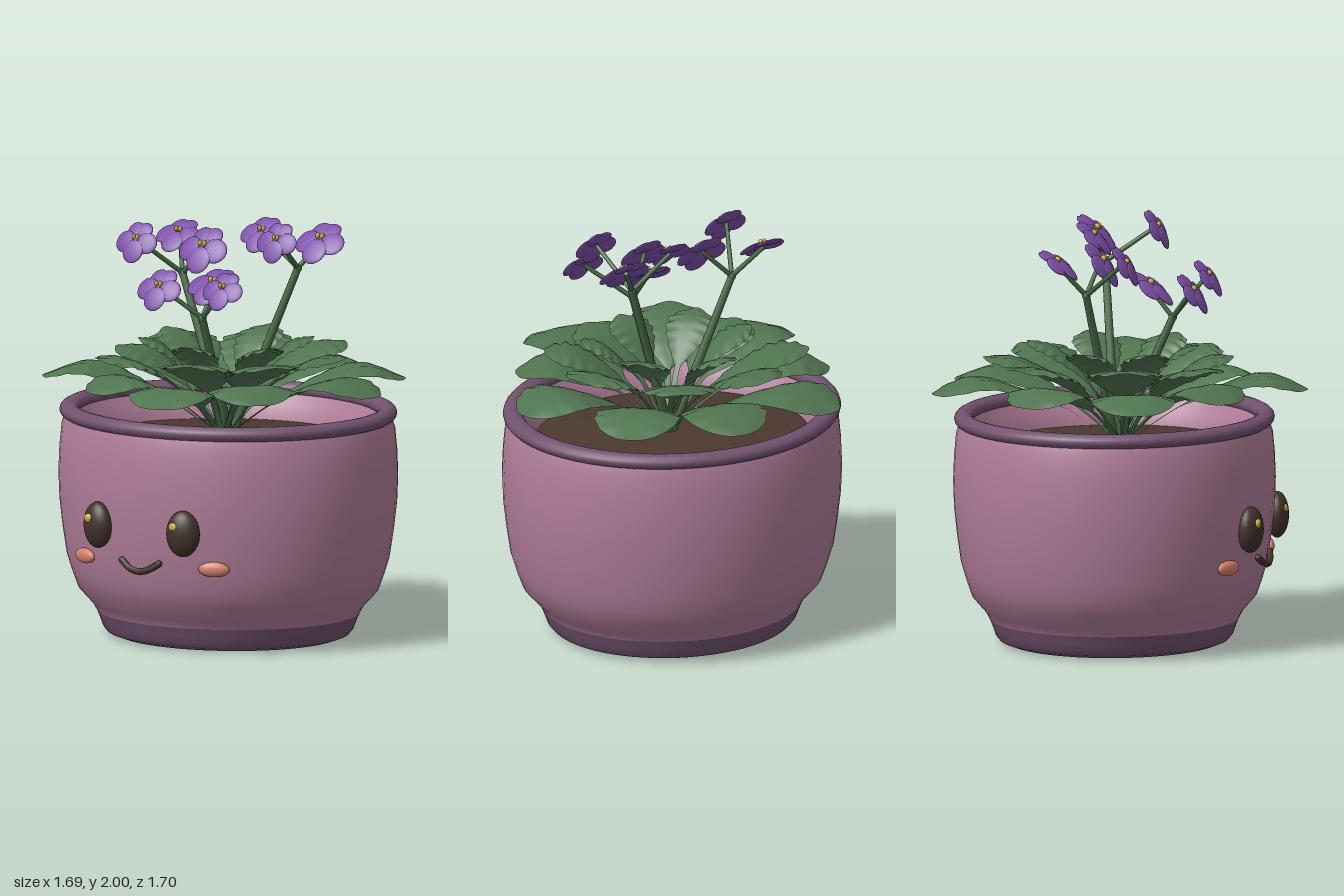
import * as THREE from 'three';

const mat = (name, color, side = THREE.FrontSide) => {
  const m = new THREE.MeshStandardMaterial({ color, side });
  m.name = name;
  return m;
};

export function createModel() {
  const pink = mat('pot pink', 0xb07d99);
  const plum = mat('trim plum', 0x72526f);
  const brown = mat('soil brown', 0x4c3930);
  const green = mat('leaf green', 0x50744f, THREE.DoubleSide);
  const stemGreen = mat('stem green', 0x4a6b48);
  const violet = mat('petal violet', 0x7d4fa8);
  const yellow = mat('yellow', 0xcdab3e);
  const dark = mat('dark brown', 0x40322a);
  const coral = mat('cheek coral', 0xd57f6b);

  const model = new THREE.Group();
  model.name = 'pottedPlant';
  const add = (parent, name, geo, material, pos = [0, 0, 0], scale = [1, 1, 1]) => {
    const m = new THREE.Mesh(geo, material);
    m.name = name;
    m.position.set(...pos);
    m.scale.set(...scale);
    parent.add(m);
    return m;
  };
  const lathe = (pts) => new THREE.LatheGeometry(pts.map((p) => new THREE.Vector2(...p)), 64);

  // Pot: slightly oval in plan
  const pot = new THREE.Group();
  pot.name = 'pot';
  pot.scale.z = 0.92;
  pot.position.z = -0.043;
  model.add(pot);
  add(pot, 'potBody', lathe([[0.635, 0.12], [0.655, 0.155], [0.725, 0.23], [0.755, 0.31], [0.78, 0.39],
    [0.8, 0.52], [0.815, 0.65], [0.82, 0.78], [0.815, 0.9], [0.805, 1.0], [0.785, 1.06]]), pink);
  add(pot, 'potInside', lathe([[0.74, 1.07], [0.7, 1.0], [0.65, 0.9], [0.64, 0.5], [0.56, 0.14], [0.17, 0.12], [0.17, 0.08]]), pink);
  add(pot, 'potFoot', lathe([[0.17, 0.12], [0.17, 0.085], [0.2, 0.06], [0.27, 0.04], [0.38, 0.015], [0.48, 0.003],
    [0.54, 0.006], [0.585, 0.022], [0.605, 0.045], [0.62, 0.085], [0.635, 0.12]]), plum);
  const rim = new THREE.TorusGeometry(0.767, 0.048, 16, 64).rotateX(Math.PI / 2);
  add(pot, 'potRim', rim, plum, [0, 1.07, 0], [1, 0.75, 1]);
  add(pot, 'soil', lathe([[0.67, 0.93], [0.5, 0.945], [0.25, 0.96], [0, 0.965]]), brown);

  // Face
  const ball = new THREE.SphereGeometry(1, 24, 16);
  for (const s of [-1, 1]) {
    const side = s > 0 ? 'left' : 'right';
    add(model, side + 'Eye', ball, dark, [s * 0.243, 0.6, 0.685], [0.082, 0.11, 0.055]).rotation.y = s * 0.25;
    add(model, side + 'EyeShine', ball, yellow, [s * 0.243 - 0.024, 0.635, 0.728], [0.025, 0.022, 0.014]);
    add(model, side + 'Cheek', ball, coral, [s * 0.368, 0.432, 0.61], [0.075, 0.036, 0.025]).rotation.y = s * 0.4;
  }
  const smile = new THREE.CatmullRomCurve3([[-0.105, 0.445, 0.685], [-0.05, 0.412, 0.7], [0, 0.402, 0.703],
    [0.05, 0.412, 0.7], [0.105, 0.445, 0.685]].map((p) => new THREE.Vector3(...p)));
  add(model, 'mouth', new THREE.TubeGeometry(smile, 20, 0.016, 8), dark);
  for (const s of [-1, 1]) add(model, 'mouthEnd', ball, dark, [s * 0.105, 0.445, 0.685], [0.016, 0.016, 0.016]);

  // Leaf: a stalk widening into a scalloped, slightly arched blade along +x
  const leafGeometry = (path, width, scallop) => {
    const curve = new THREE.CatmullRomCurve3(path.map(([r, y]) => new THREE.Vector3(r, y, 0)));
    const rows = 44, cols = 8, pos = [], index = [];
    for (let i = 0; i <= rows; i++) {
      const u = 1 - (1 - i / rows) ** 1.25;
      const t = Math.max(0, (u - 0.3) / 0.7);
      const blade = Math.max(0, Math.sin(Math.PI * t ** 1.55)) ** 0.62;
      const wave = Math.cos(t * Math.PI * 14);
      const half = Math.max(u < 0.9 ? 0.014 : 0.002, width * blade * (1 + scallop * wave));
      const p = curve.getPoint(u);
      for (let j = 0; j <= cols; j++) {
        const v = (j / cols) * 2 - 1;
        const dip = blade * (0.02 * Math.abs(v) - 0.045 * v * v + 0.12 * scallop * wave * v * v);
        pos.push(p.x, p.y + dip, half * v);
        if (i < rows && j < cols) {
          const a = i * (cols + 1) + j, b = a + cols + 1;
          index.push(a, a + 1, b, b, a + 1, b + 1);
        }
      }
    }
    const g = new THREE.BufferGeometry();
    g.setAttribute('position', new THREE.Float32BufferAttribute(pos, 3));
    g.setIndex(index);
    g.computeVertexNormals();
    return g;
  };
  // Tiers: [angle in degrees, length] for each leaf, heights along the leaf
  const tiers = [
    { name: 'outerLeaf', width: 0.2, scallop: 0.025, heights: [0.96, 1.1, 1.21, 1.275, 1.21],
      leaves: [[-117, 0.92], [-81, 0.86], [-44, 0.87], [-3, 0.85], [42, 0.72], [77, 0.87], [118, 0.71], [161, 0.88], [202, 0.78]] },
    { name: 'middleLeaf', width: 0.175, scallop: 0.045, heights: [0.96, 1.14, 1.27, 1.35, 1.36],
      leaves: [[-106, 0.66], [-63, 0.65], [-14, 0.62], [31, 0.58], [74, 0.52], [125, 0.64], [164, 0.53], [214, 0.67]] },
    { name: 'innerLeaf', width: 0.115, scallop: 0.055, heights: [0.96, 1.17, 1.31, 1.4, 1.425],
      leaves: [[-95, 0.46], [-38, 0.43], [22, 0.42], [85, 0.36], [145, 0.4], [195, 0.42]] },
  ];
  const foliage = new THREE.Group();
  foliage.name = 'foliage';
  model.add(foliage);
  for (const { name, width, scallop, heights, leaves } of tiers) {
    for (const [deg, len] of leaves) {
      const path = [0.03, 0.26, 0.5, 0.76, 1].map((f, i) => [f * len, heights[i]]);
      add(foliage, name, leafGeometry(path, width, scallop), green).rotation.y = -deg * Math.PI / 180;
    }
  }

  // Flowers: five flat petals and two small yellow anthers, facing forward and up
  const petalBall = new THREE.SphereGeometry(1, 16, 10);
  const addFlower = (parent, pos, radius, elevation) => {
    const f = new THREE.Group();
    f.name = 'flower';
    f.position.set(...pos);
    f.rotation.x = -elevation * Math.PI / 180;
    f.scale.setScalar(radius / 0.125);
    parent.add(f);
    [[62, 0.82], [118, 0.82], [196, 1], [270, 1.04], [344, 1]].forEach(([deg, s], i) => {
      const arm = new THREE.Group();
      arm.name = 'petalArm';
      arm.rotation.z = deg * Math.PI / 180;
      f.add(arm);
      const z = i < 2 ? -0.006 : 0.004 * (i % 2);
      add(arm, 'petal', petalBall, violet, [0.067 * s, 0, z], [0.06 * s, 0.058 * s, 0.011]).rotation.y = 0.16;
    });
    for (const s of [-1, 1]) add(f, 'anther', petalBall, yellow, [s * 0.011, 0.006, 0.018], [0.009, 0.014, 0.012]);
  };
  const stalk = (parent, name, a, b, r0, r1) => {
    const from = new THREE.Vector3(...a), dir = new THREE.Vector3(...b).sub(from);
    const m = add(parent, name, new THREE.CylinderGeometry(r1, r0, dir.length(), 10), stemGreen);
    m.position.copy(from).addScaledVector(dir, 0.5);
    m.quaternion.setFromUnitVectors(new THREE.Vector3(0, 1, 0), dir.normalize());
  };
  // Each cluster: fork point, then [position, radius, upward tilt] per flower
  const clusters = [
    { fork: [-0.3, 1.69, -0.1], flowers: [[[-0.41, 1.87, 0.119], 0.115, 30], [[-0.4, 1.86, -0.215], 0.12, 52], [[-0.155, 1.835, -0.064], 0.135, 34]] },
    { fork: [0.31, 1.76, -0.17], flowers: [[[0.355, 1.93, 0.069], 0.113, 29], [[0.395, 1.895, -0.238], 0.135, 45], [[0.105, 1.915, -0.174], 0.118, 45]] },
    { fork: [0.04, 1.55, 0.23], flowers: [[[-0.11, 1.705, 0.366], 0.122, 35], [[0.24, 1.725, 0.348], 0.112, 35], [[0.03, 1.7, 0.123], 0.135, 52]] },
  ];
  for (const { fork, flowers } of clusters) {
    const cluster = new THREE.Group();
    cluster.name = 'flowerCluster';
    model.add(cluster);
    stalk(cluster, 'flowerStalk', [0.01, 0.94, -0.04], fork, 0.024, 0.018);
    add(cluster, 'stalkFork', ball, stemGreen, fork, [0.02, 0.02, 0.02]);
    for (const [pos, radius, tilt] of flowers) {
      const t = tilt * Math.PI / 180;
      stalk(cluster, 'flowerBranch', fork, [pos[0], pos[1] - 0.01 * Math.sin(t), pos[2] - 0.01 * Math.cos(t)], 0.012, 0.01);
      addFlower(cluster, pos, radius, tilt);
    }
  }
  return model;
}
